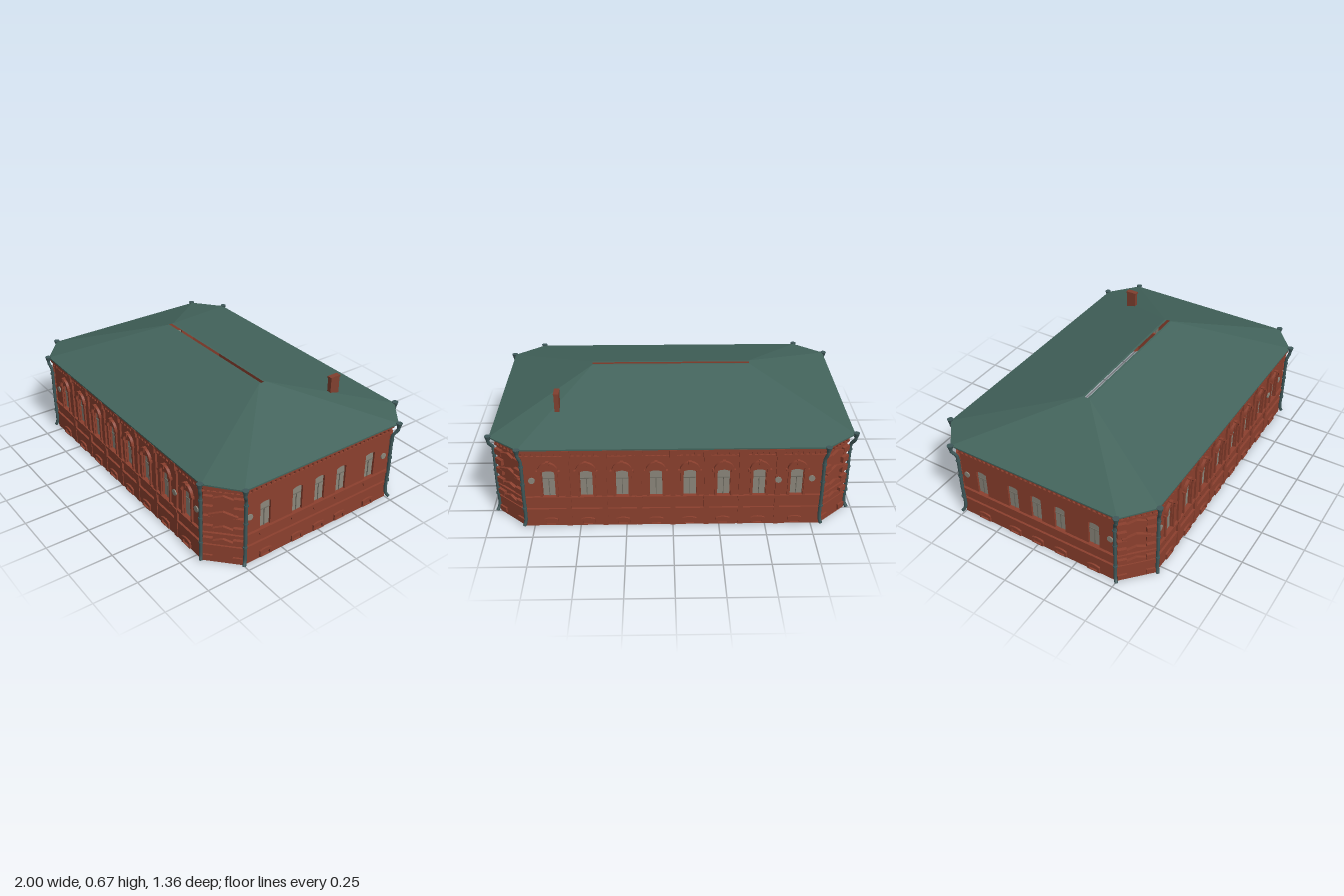
import * as THREE from 'three';

const mat = (name, color, double) => {
  const m = new THREE.MeshStandardMaterial({ color });
  m.name = name;
  if (double) m.side = THREE.DoubleSide;
  return m;
};

export function createModel() {
  const brick = mat('red brick', 0x8c402e);
  const chimneyBrick = mat('chimney brick', 0x80402f);
  const roofGreen = mat('roof green', 0x43645c);
  const pipeGreen = mat('downpipe green', 0x3f5859);
  const underside = mat('dark roof underside', 0x2a211d);
  const glass = mat('window grey', 0x8b877b, true);
  const bars = mat('window bar grey', 0x6f6c62, true);

  const model = new THREE.Group();
  model.name = 'brickHouse';

  const add = (parent, name, geo, material, x = 0, y = 0, z = 0) => {
    const m = new THREE.Mesh(geo, material);
    m.name = name;
    m.position.set(x, y, z);
    parent.add(m);
    return m;
  };
  const box = (parent, name, w, h, d, x, y, z, material = brick) =>
    add(parent, name, new THREE.BoxGeometry(w, h, d), material, x, y, z);
  const extrude = (shape, depth) =>
    new THREE.ExtrudeGeometry(shape, { depth, bevelEnabled: false, curveSegments: 10 });

  // Rectangle with a shallow arched top, centred on x
  const arched = (P, x, y0, y1, w, rise) => {
    const p = new P();
    p.moveTo(x - w / 2, y0);
    p.lineTo(x + w / 2, y0);
    p.lineTo(x + w / 2, y1 - rise);
    p.quadraticCurveTo(x, y1 + rise, x - w / 2, y1 - rise);
    p.closePath();
    return p;
  };

  // Half ring used for the window hoods
  const hoodShape = (ro, ri) => {
    const s = new THREE.Shape();
    s.absarc(0, 0, ro, 0, Math.PI, false);
    s.absarc(0, 0, ri, Math.PI, 0, true);
    s.closePath();
    return s;
  };
  const apronShape = new THREE.Shape();
  apronShape.absarc(0, 0, 0.042, Math.PI, Math.PI * 2, false);
  apronShape.closePath();

  const basementFrame = arched(THREE.Shape, 0, 0.008, 0.052, 0.075, 0.008);
  basementFrame.holes.push(arched(THREE.Path, 0, 0.012, 0.038, 0.05, 0.005));

  const hoodGeo = extrude(hoodShape(0.054, 0.038), 0.016);
  const apronGeo = extrude(apronShape, 0.01);
  const basementGeo = extrude(basementFrame, 0.014);
  const ventGeo = new THREE.CylinderGeometry(0.018, 0.018, 0.006, 12).rotateX(Math.PI / 2);

  // Wall in its own frame: x along the wall, outer face at z = 0
  const wall = (name, width, windows, x, z, angle) => {
    const g = new THREE.Group();
    g.name = name;
    g.position.set(x, 0, z);
    g.rotation.y = angle;
    model.add(g);
    const s = new THREE.Shape();
    s.moveTo(-width / 2, 0);
    s.lineTo(width / 2, 0);
    s.lineTo(width / 2, 0.482);
    s.lineTo(-width / 2, 0.482);
    s.closePath();
    windows.forEach(wx => s.holes.push(arched(THREE.Path, wx, 0.185, 0.342, 0.066, 0.008)));
    add(g, 'wallPanel', extrude(s, 0.025), brick, 0, 0, -0.025);
    box(g, 'plinth', width + 0.006, 0.1, 0.008, 0, 0.05, 0.004);
    box(g, 'plinthCap', width + 0.008, 0.01, 0.012, 0, 0.103, 0.006);
    box(g, 'stringCourse', width + 0.01, 0.016, 0.014, 0, 0.177, 0.007);
    box(g, 'cornice', width + 0.012, 0.022, 0.018, 0, 0.471, 0.009);
    box(g, 'frieze', width + 0.006, 0.008, 0.01, 0, 0.433, 0.005);
    const n = Math.round(width / 0.03);
    for (let i = 0; i < n; i++)
      box(g, 'dentil', 0.014, 0.02, 0.012, (i + 0.5) * width / n - width / 2, 0.45, 0.006);
    windows.forEach(wx => {
      add(g, 'windowPane', new THREE.ShapeGeometry(arched(THREE.Shape, wx, 0.183, 0.344, 0.068, 0.008)), glass, 0, 0, -0.012);
      box(g, 'windowTransom', 0.066, 0.004, 0.004, wx, 0.29, -0.01, bars);
      box(g, 'windowMullion', 0.004, 0.105, 0.004, wx, 0.237, -0.01, bars);
      add(g, 'windowApron', apronGeo, brick, wx, 0.17, 0);
      add(g, 'basementFrame', basementGeo, brick, wx, 0, 0.004);
    });
    return g;
  };

  // Long walls with hooded windows and pilasters
  const longWindows = [-0.66, -0.46, -0.27, -0.09, 0.09, 0.27, 0.46, 0.66];
  [['frontWall', 1, 0], ['backWall', -1, Math.PI]].forEach(([name, sz, angle]) => {
    const g = wall(name, 1.59, longWindows, 0, sz * 0.635, angle);
    longWindows.forEach(wx => {
      add(g, 'windowHood', hoodGeo, brick, wx, 0.345, 0);
      box(g, 'hoodKeystone', 0.016, 0.026, 0.02, wx, 0.392, 0.01);
      for (const s of [-1, 1]) {
        box(g, 'windowJamb', 0.012, 0.16, 0.01, wx + s * 0.043, 0.265, 0.005);
        box(g, 'hoodFoot', 0.026, 0.014, 0.016, wx + s * 0.05, 0.342, 0.008);
      }
    });
    [-0.56, -0.365, -0.18, 0, 0.18, 0.365, 0.56].forEach(px => {
      box(g, 'pilaster', 0.028, 0.44, 0.012, px, 0.22, 0.006);
      box(g, 'pilasterHead', 0.04, 0.045, 0.024, px, 0.455, 0.012);
      box(g, 'pilasterBand', 0.036, 0.02, 0.018, px, 0.177, 0.009);
    });
    [-0.75, 0.56, 0.74].forEach(vx => add(g, 'vent', ventGeo, glass, vx, 0.285, vx === 0.56 ? 0.014 : 0.003));
  });

  // Short walls with plain windows
  [['leftWall', 1], ['rightWall', -1]].forEach(([name, sx]) => {
    const g = wall(name, 0.99, [-0.36, -0.15, 0, 0.15, 0.36], sx * 0.945, 0, sx * Math.PI / 2);
    for (const s of [-1, 1]) add(g, 'vent', ventGeo, glass, s * 0.46, 0.285, 0.003);
  });

  // Cut corners with stacked quoins and pointed bands
  const gable = new THREE.Shape();
  gable.moveTo(-0.075, 0);
  gable.lineTo(0.075, 0);
  gable.lineTo(0.075, 0.01);
  gable.lineTo(0, 0.034);
  gable.lineTo(-0.075, 0.01);
  gable.closePath();
  const gableGeo = extrude(gable, 0.016);
  for (const sx of [-1, 1]) for (const sz of [-1, 1]) {
    const g = wall('cornerWall', 0.205, [], sx * 0.87, sz * 0.565, Math.atan2(sx * 0.14, sz * 0.15));
    for (const s of [-1, 1]) for (let i = 0; i < 4; i++) {
      box(g, 'quoin', 0.05, 0.034, 0.018, s * 0.077, 0.215 + i * 0.06, 0.009);
      if (i < 2) box(g, 'baseQuoin', 0.05, 0.03, 0.018, s * 0.077, 0.03 + i * 0.11, 0.009);
    }
    [0.12, 0.2, 0.29, 0.385].forEach(y => add(g, 'pointedBand', gableGeo, brick, 0, y, 0));
  }

  // Downpipes with funnels at both edges of each cut corner
  const funnelGeo = new THREE.CylinderGeometry(0.018, 0.01, 0.028, 10);
  const downpipe = (tx, tz, wx, wz) => {
    const lerp = (t, y) => new THREE.Vector3(wx + (tx - wx) * t, y, wz + (tz - wz) * t);
    const path = new THREE.CatmullRomCurve3([lerp(1, 0.475), lerp(0.95, 0.45), lerp(0.1, 0.415),
      lerp(0, 0.39), lerp(0, 0.2), lerp(0, 0.035), lerp(0.6, 0.01)]);
    add(model, 'downpipe', new THREE.TubeGeometry(path, 36, 0.0095, 8), pipeGreen);
    add(model, 'downpipeFunnel', funnelGeo, pipeGreen, tx, 0.478, tz);
    [0.12, 0.27, 0.38].forEach(y =>
      add(model, 'pipeCollar', new THREE.CylinderGeometry(0.0125, 0.0125, 0.01, 8), pipeGreen, wx, y, wz));
  };
  for (const sx of [-1, 1]) for (const sz of [-1, 1]) {
    downpipe(sx * 0.81, sz * 0.664, sx * 0.797, sz * 0.652);
    downpipe(sx * 0.982, sz * 0.518, sx * 0.962, sz * 0.497);
  }

  // Hipped roof shell with an open slot along the ridge
  const EAVE = 0.487, RIDGE = 0.669, T = 0.008;
  const F1 = [-0.81, EAVE, 0.657], F2 = [0.81, EAVE, 0.657];
  const S1 = [0.976, EAVE, 0.52], S2 = [0.976, EAVE, -0.52], B = [0.81, EAVE, -0.657];
  const R1 = [-0.45, RIDGE, 0.022], R2 = [0.45, RIDGE, 0.022], R3 = [0.45, RIDGE, -0.022];
  const L1 = [-0.45, RIDGE, 0.01], L2 = [0.45, RIDGE, 0.01];
  const slopes = [[F1, F2, R2, R1], [F2, S1, R2], [S1, S2, R3, R2], [S2, B, R3], [R1, R2, L2, L1]];
  const low = p => [p[0], p[1] - T, p[2]];
  const fascia = [[F1, F2], [F2, S1], [S1, S2], [S2, B]].map(([a, b]) => [low(a), low(b), b, a]);
  const shell = faces => {
    const pos = [];
    for (const s of [1, -1]) for (const f of faces)
      for (let i = 1; i < f.length - 1; i++)
        for (const p of [f[0], f[i], f[i + 1]]) pos.push(s * p[0], p[1], s * p[2]);
    const geo = new THREE.BufferGeometry();
    geo.setAttribute('position', new THREE.Float32BufferAttribute(pos, 3));
    geo.computeVertexNormals();
    return geo;
  };
  add(model, 'roof', shell([...slopes, ...fascia]), roofGreen);
  add(model, 'roofUnderside', shell(slopes.map(f => f.map(low).reverse())), underside);

  // Chimney
  box(model, 'chimney', 0.026, 0.13, 0.06, 0.622, 0.6, -0.36, chimneyBrick);
  box(model, 'chimneyCap', 0.03, 0.012, 0.066, 0.622, 0.667, -0.36, chimneyBrick);

  return model;
}
